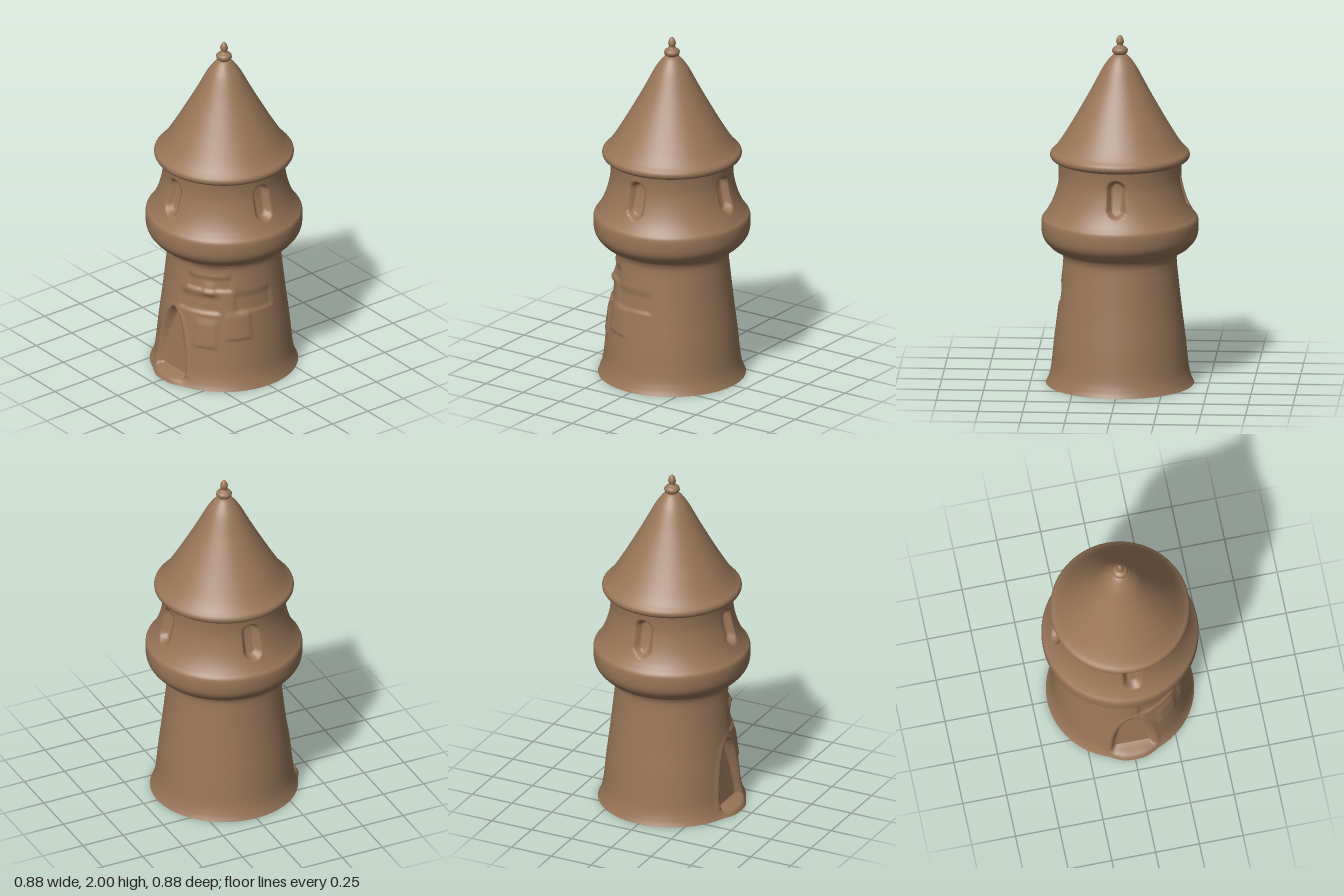
import * as THREE from 'three';
import { mergeVertices } from 'three/addons/utils/BufferGeometryUtils.js';

const clay = new THREE.MeshStandardMaterial({ color: 0x997658 });
clay.name = 'clay brown';

const { smoothstep } = THREE.MathUtils;

// Smooth lathe from [radius, height] points, with an optional radial displacement rule
function turned(name, points, rows, segments, displace) {
  const curve = new THREE.SplineCurve(points.map(([r, y]) => new THREE.Vector2(r, y)));
  const profile = curve.getSpacedPoints(rows);
  profile.forEach((p) => { p.x = Math.max(p.x, 0); });
  let geo = new THREE.LatheGeometry(profile, segments, Math.PI * 0.75);
  if (displace) {
    const pos = geo.attributes.position;
    for (let i = 0; i < pos.count; i++) {
      const x = pos.getX(i), y = pos.getY(i), z = pos.getZ(i);
      const r = Math.hypot(x, z), phi = Math.atan2(x, z);
      const k = (r + displace(phi, y, r)) / r;
      pos.setX(i, x * k);
      pos.setZ(i, z * k);
    }
  }
  // Weld the seam so the shading is continuous
  geo.deleteAttribute('uv');
  geo.deleteAttribute('normal');
  geo = mergeVertices(geo, 1e-5);
  geo.computeVertexNormals();
  const mesh = new THREE.Mesh(geo, clay);
  mesh.name = name;
  return mesh;
}

// Worn stones on the wall: [start angle, end angle, bottom, top, relief]
const stones = [
  [0.12, 0.85, 0.455, 0.55, -0.012],
  [0.25, 1.05, 0.59, 0.66, -0.012],
  [0.35, 0.95, 0.68, 0.73, -0.006],
  [0.45, 0.80, 0.25, 0.40, 0.007],
  [0.95, 1.35, 0.30, 0.45, 0.007],
  [1.10, 1.80, 0.46, 0.56, -0.008],
  [0.55, 0.75, 0.56, 0.62, 0.008],
];

function wallRelief(phi, y, r) {
  let d = 0;
  // Four rounded window niches
  const quarter = Math.PI / 2;
  const side = phi - Math.round(phi / quarter) * quarter;
  const wx = side * r, wy = Math.max(Math.abs(y - 1.13) - 0.055, 0);
  d -= 0.04 * (1 - smoothstep(Math.hypot(wx, wy), 0.034, 0.052));

  // Arched doorway with a flat inner face
  if (y < 0.5 && Math.abs(phi) < 0.6) {
    const x = r * Math.sin(phi);
    const t = Math.min(Math.max((y - 0.03) / 0.40, 0), 1);
    const half = 0.125 * Math.pow(1 - t * t * t, 0.6) * (1 - 0.25 * t);
    const inside = 1 - smoothstep(Math.abs(x), half - 0.014, half + 0.004);
    const sill = smoothstep(y, 0.025, 0.045);
    const plane = (0.365 - 0.12 * y) / Math.cos(phi);
    if (t < 1) d += inside * sill * Math.min(plane - 0.015 - r, 0);
    // Slightly raised arch rim
    const rim = Math.exp(-(((Math.abs(x) - half - 0.02) / 0.015) ** 2));
    if (y > 0.05) d += 0.005 * rim * (1 - smoothstep(y, 0.42, 0.48));
  }
  // Door step at the foot
  if (y < 0.04) d += 0.02 * (1 - smoothstep(Math.abs(phi), 0.1, 0.4));

  for (const [a, b, lo, hi, h] of stones) {
    const across = smoothstep(phi, a - 0.05, a + 0.05) * (1 - smoothstep(phi, b - 0.05, b + 0.05));
    const up = smoothstep(y, lo - 0.01, lo + 0.01) * (1 - smoothstep(y, hi - 0.02, hi + 0.03));
    d += h * across * up;
  }
  return d;
}

export function createModel() {
  const tower = new THREE.Group();
  tower.name = 'roundTower';

  // Flared wall, bulging gallery and upper chamber in one skin
  tower.add(turned('towerWall', [
    [0.415, 0], [0.40, 0.035], [0.385, 0.1], [0.367, 0.27], [0.347, 0.43],
    [0.328, 0.6], [0.318, 0.7], [0.322, 0.74], [0.34, 0.768], [0.375, 0.778],
    [0.41, 0.81], [0.432, 0.845], [0.44, 0.89], [0.438, 0.945], [0.42, 0.972],
    [0.397, 1.01], [0.375, 1.06], [0.357, 1.12], [0.346, 1.18], [0.345, 1.24], [0.35, 1.3],
  ], 170, 224, wallRelief));

  // Flat underside
  const base = new THREE.Mesh(new THREE.CircleGeometry(0.416, 64), clay);
  base.name = 'towerBase';
  base.rotation.x = Math.PI / 2;
  base.position.y = 0.001;
  tower.add(base);

  // Cone roof with a rolled eave
  tower.add(turned('roof', [
    [0.32, 1.285], [0.35, 1.28], [0.378, 1.288], [0.391, 1.305], [0.388, 1.328],
    [0.365, 1.35], [0.328, 1.4], [0.267, 1.5], [0.21, 1.6], [0.155, 1.7],
    [0.103, 1.8], [0.078, 1.84], [0.048, 1.878], [0.025, 1.893], [0, 1.897],
  ], 70, 64));

  // Knob and tip
  tower.add(turned('finial', [
    [0.026, 1.885], [0.04, 1.897], [0.045, 1.912], [0.038, 1.926], [0.021, 1.936],
    [0.018, 1.947], [0.022, 1.962], [0.017, 1.982], [0.008, 1.995], [0, 2],
  ], 28, 12));

  return tower;
}
